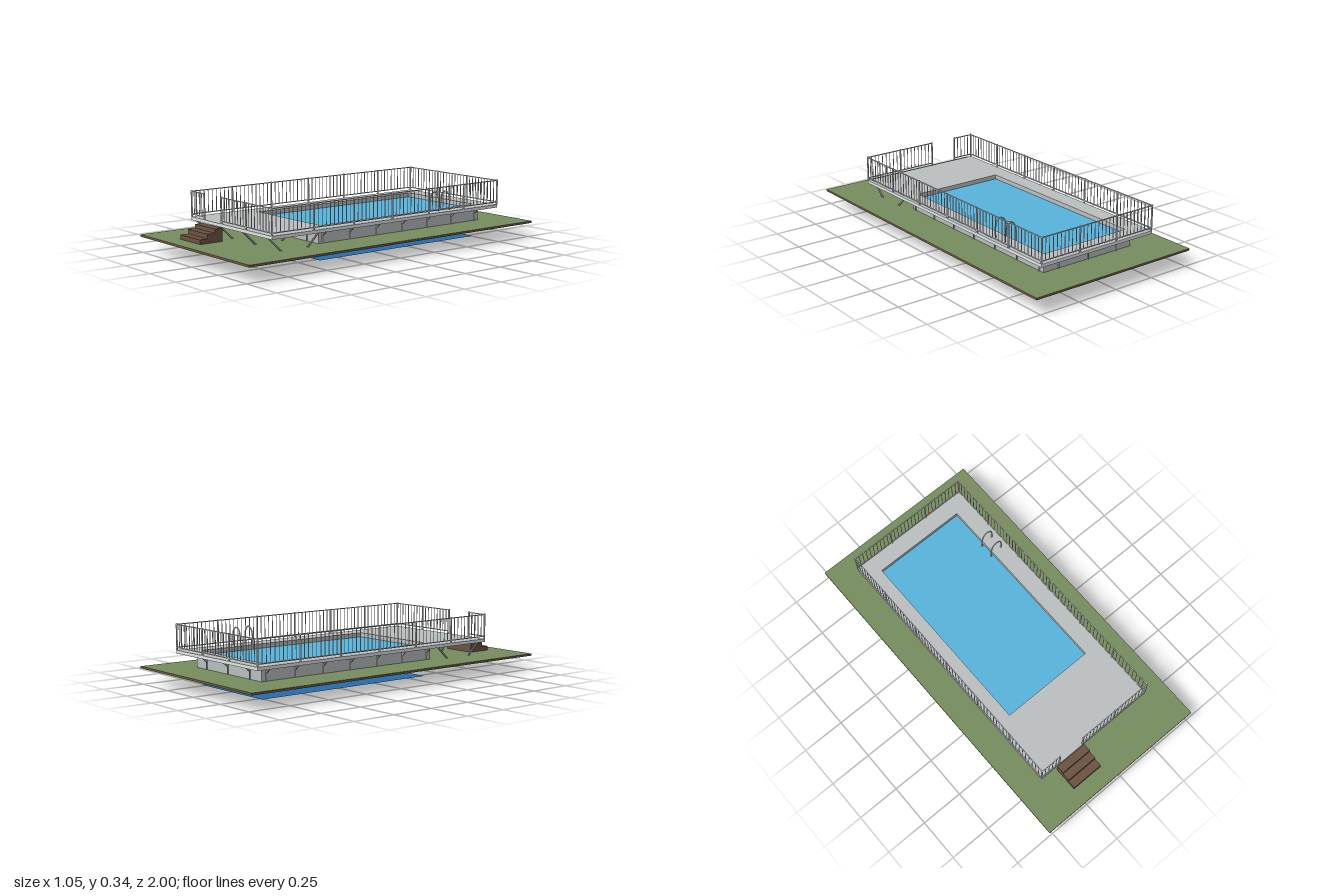
import * as THREE from 'three';

const mat = (name, color, side = THREE.FrontSide) => {
  const m = new THREE.MeshStandardMaterial({ color, side });
  m.name = name;
  return m;
};

export function createModel() {
  const model = new THREE.Group();
  const grass = mat('grass green', 0x768d5e);
  const soil = mat('soil brown', 0x6e5542);
  const wood = mat('wood brown', 0x6b5341);
  const deckGrey = mat('deck grey', 0xbcbfc0);
  const wallGrey = mat('wall grey', 0xb8bdbd);
  const railGrey = mat('rail grey', 0xe2e4e5);
  const strutGrey = mat('strut grey', 0xa6a8aa);
  const water = mat('water blue', 0x58b3dc, THREE.DoubleSide);
  const floorBlue = mat('floor blue', 0x266cac, THREE.DoubleSide);

  const add = (name, geo, material, parent = model) => {
    const m = new THREE.Mesh(geo, material);
    m.name = name;
    parent.add(m);
    return m;
  };
  const group = (name) => {
    const g = new THREE.Group();
    g.name = name;
    model.add(g);
    return g;
  };
  // box from its minimum and maximum corners
  const box = (name, a, b, material, parent) => {
    const g = new THREE.BoxGeometry(b[0] - a[0], b[1] - a[1], b[2] - a[2]);
    g.translate((a[0] + b[0]) / 2, (a[1] + b[1]) / 2, (a[2] + b[2]) / 2);
    add(name, g, material, parent);
  };
  // square bar between two points
  const bar = (name, a, b, t, material, parent) => {
    const p = new THREE.Vector3(...a), q = new THREE.Vector3(...b);
    const m = add(name, new THREE.BoxGeometry(t, t, p.distanceTo(q)), material, parent);
    m.position.copy(p).add(q).multiplyScalar(0.5);
    m.lookAt(q);
  };
  // horizontal rectangle with the pool opening cut out
  const PX = 0.28, PZ0 = -0.76, PZ1 = 0.375;
  const rect = (C, x, z0, z1) => {
    const s = new C();
    s.moveTo(-x, -z1);
    s.lineTo(x, -z1);
    s.lineTo(x, -z0);
    s.lineTo(-x, -z0);
    s.closePath();
    return s;
  };
  const frame = (x, z0, z1) => {
    const s = rect(THREE.Shape, x, z0, z1);
    s.holes.push(rect(THREE.Path, PX, PZ0, PZ1));
    return s;
  };
  const slab = (name, shape, y0, y1, material) => {
    const g = new THREE.ExtrudeGeometry(shape, { depth: y1 - y0, bevelEnabled: false });
    g.rotateX(-Math.PI / 2).translate(0, y0, 0);
    add(name, g, material);
  };

  // ground with lawn on top
  slab('ground', frame(0.525, -1, 1), 0.085, 0.095, soil);
  slab('lawn', frame(0.525, -1, 1), 0.095, 0.097, grass);

  // pool wall, floor and water
  slab('poolWall', frame(0.3, -0.78, 0.4), 0.097, 0.172, wallGrey);
  const sheet = (name, y, material) => {
    const g = new THREE.PlaneGeometry(2 * PX, PZ1 - PZ0);
    add(name, g.rotateX(-Math.PI / 2).translate(0, y, (PZ0 + PZ1) / 2), material);
  };
  sheet('poolFloor', 0, floorBlue);
  sheet('waterSurface', 0.165, water);

  // deck with a pale edge board
  slab('deck', frame(0.378, -0.858, 0.758), 0.172, 0.19, deckGrey);
  const edge = group('deckEdge');
  for (const s of [-1, 1]) {
    const x0 = s < 0 ? -0.38 : 0.378;
    box('edgeSide', [x0, 0.172, -0.86], [x0 + 0.002, 0.19, 0.76], railGrey, edge);
    const z0 = s < 0 ? -0.86 : 0.758;
    box('edgeEnd', [-0.378, 0.172, z0], [0.378, 0.19, z0 + 0.002], railGrey, edge);
  }

  // wall ribs and deck brackets
  const supports = group('supports');
  for (let i = 0; i < 7; i++) {
    const z = 0.372 - i * 0.187;
    for (const s of [-1, 1]) {
      box('wallRib', [s * 0.302 - 0.003, 0.097, z - 0.003], [s * 0.302 + 0.003, 0.172, z + 0.003], wallGrey, supports);
      bar('bracket', [s * 0.3, 0.14, z], [s * 0.337, 0.172, z], 0.007, strutGrey, supports);
    }
  }
  for (const x of [-0.2, 0, 0.2]) {
    for (const z of [-0.782, 0.402]) {
      box('wallRib', [x - 0.003, 0.097, z - 0.003], [x + 0.003, 0.172, z + 0.003], wallGrey, supports);
    }
    bar('bracket', [x, 0.14, -0.78], [x, 0.172, -0.82], 0.007, strutGrey, supports);
  }
  // slanted legs under the front platform
  for (const x of [-0.335, -0.11, 0.11, 0.335]) {
    bar('leg', [x, 0.096, 0.67], [x, 0.173, 0.75], 0.008, strutGrey, supports);
    bar('leg', [x, 0.096, 0.5], [x, 0.173, 0.42], 0.008, strutGrey, supports);
  }

  // railing, run by run, each split into equal bays
  const railing = group('railing');
  const railRun = (a, b, bays) => {
    const at = (t, y) => [a[0] + (b[0] - a[0]) * t, y, a[1] + (b[1] - a[1]) * t];
    const len = Math.hypot(b[0] - a[0], b[1] - a[1]);
    const n = Math.round(len / bays / 0.0258);
    bar('topRail', at(0, 0.332), at(1, 0.332), 0.005, railGrey, railing);
    bar('bottomRail', at(0, 0.205), at(1, 0.205), 0.005, railGrey, railing);
    for (let i = 0; i <= bays * n; i++) {
      const [x, , z] = at(i / (bays * n), 0);
      const post = i % n === 0, h = post ? 0.0035 : 0.0015;
      box(post ? 'railPost' : 'baluster', [x - h, post ? 0.19 : 0.205, z - h],
        [x + h, post ? 0.337 : 0.332, z + h], railGrey, railing);
    }
  };
  for (const s of [-1, 1]) railRun([s * 0.377, 0.757], [s * 0.377, -0.857], 6);
  railRun([-0.377, -0.857], [0.377, -0.857], 3);
  railRun([-0.377, 0.757], [-0.25, 0.757], 1);
  railRun([-0.083, 0.757], [0.377, 0.757], 2);

  // front steps
  const steps = group('steps');
  [[0.808, 0.17], [0.855, 0.147], [0.903, 0.122]].forEach(([z, y], i) => {
    box('step', [-0.265, 0.097, 0.761 + i * 0.047], [-0.07, y, z], wood, steps);
  });

  // ladder with two arched handrails
  const ladder = group('ladder');
  const path = [[0.338, 0.19], [0.34, 0.24], [0.33, 0.28], [0.306, 0.294], [0.281, 0.28],
    [0.268, 0.24], [0.266, 0.18], [0.266, 0.1], [0.266, 0.045], [0.27, 0.028], [0.279, 0.022]];
  for (const z of [-0.43, -0.513]) {
    const curve = new THREE.CatmullRomCurve3(path.map(([x, y]) => new THREE.Vector3(x, y, z)));
    add('ladderRail', new THREE.TubeGeometry(curve, 40, 0.004, 8), railGrey, ladder);
  }
  for (const y of [0.065, 0.11, 0.15]) {
    box('rung', [0.256, y - 0.002, -0.513], [0.276, y + 0.002, -0.43], railGrey, ladder);
  }
  return model;
}
